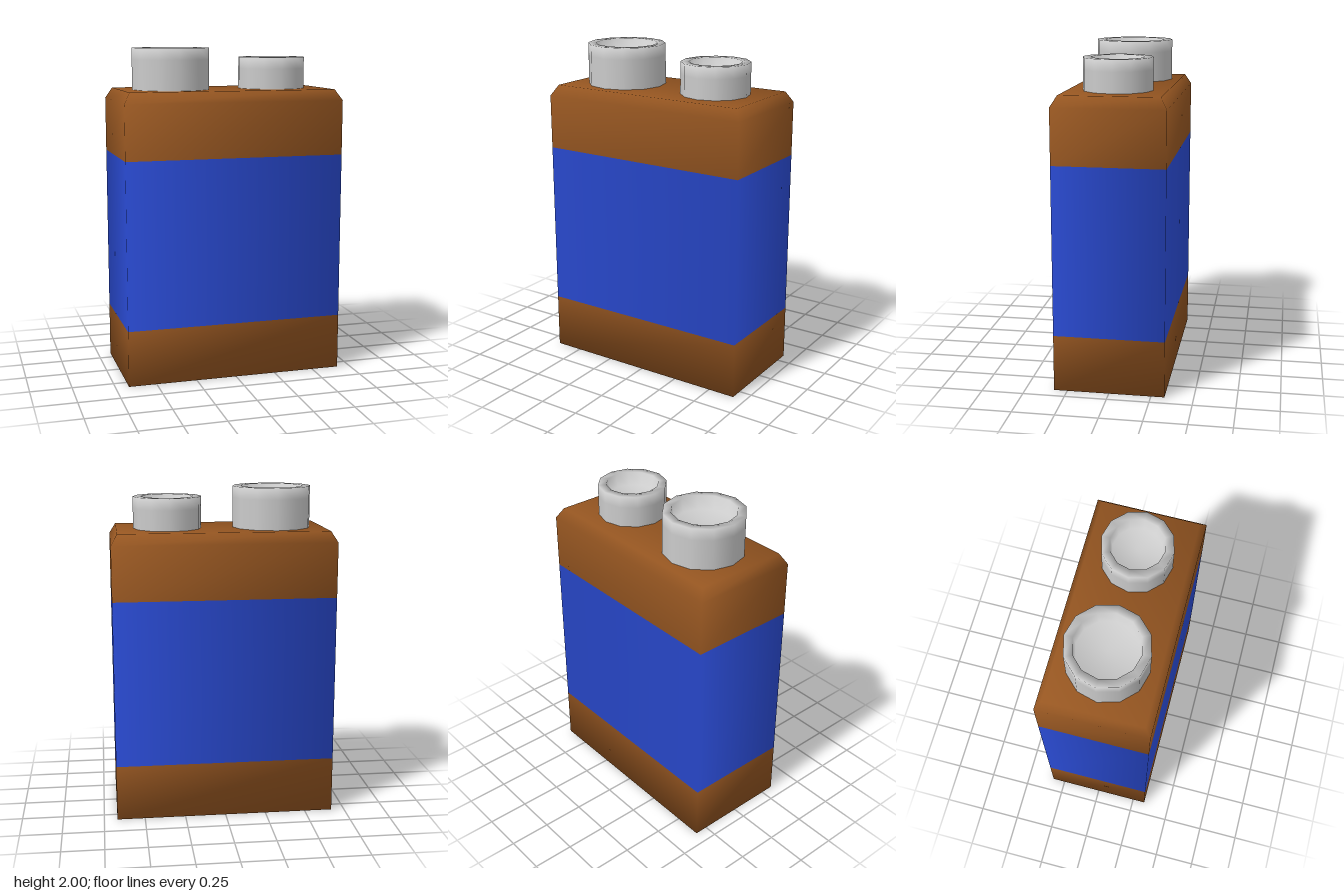
import * as THREE from 'three';

const HX = 0.67, HZ = 0.33; // half width and half depth of the case
const LIP = 0.05, RECESS = 0.034; // width and depth of the foot bevel

const brown = new THREE.MeshStandardMaterial({ color: 0x965621 });
const blue = new THREE.MeshStandardMaterial({ color: 0x2a4bd4 });
const black = new THREE.MeshStandardMaterial({ color: 0x1c1c1c });
const grey = new THREE.MeshStandardMaterial({ color: 0xcccccc });

// Rectangular skin through rings of [inset, y, outward, upward]; the last two
// aim the soft corner normals. Rings run upwards on the outside.
function skin(name, rings, material, cap = false) {
  const pos = [], normal = [], index = [];
  for (const [inset, y, out, up] of rings) {
    for (const [sx, sz] of [[1, 1], [1, -1], [-1, -1], [-1, 1]]) {
      pos.push(sx * (HX - inset), y, sz * (HZ - inset));
      normal.push(sx * out, up, sz * out);
    }
  }
  for (let r = 0; r < rings.length - 1; r++) {
    for (let i = 0; i < 4; i++) {
      const a = r * 4 + i, b = r * 4 + (i + 1) % 4;
      index.push(a, b, b + 4, a, b + 4, a + 4);
    }
  }
  if (cap) {
    const t = (rings.length - 1) * 4;
    index.push(t, t + 1, t + 2, t, t + 2, t + 3);
  }
  const geo = new THREE.BufferGeometry();
  geo.setAttribute('position', new THREE.Float32BufferAttribute(pos, 3));
  geo.setAttribute('normal', new THREE.Float32BufferAttribute(normal, 3));
  geo.normalizeNormals();
  geo.setIndex(index);
  const mesh = new THREE.Mesh(geo, material);
  mesh.name = name;
  return mesh;
}

// Twelve-sided hollow contact cup
function terminal(name, x, radius, top) {
  const inner = radius - 0.05;
  const profile = [
    [radius, 1.745], [radius, top - 0.07], [radius, top],
    [inner, top], [inner - 0.012, top - 0.08], [0, top - 0.08],
  ].map(([r, y]) => new THREE.Vector2(r, y));
  const mesh = new THREE.Mesh(new THREE.LatheGeometry(profile, 12), grey);
  mesh.position.x = x;
  mesh.name = name;
  return mesh;
}

export function createModel() {
  const model = new THREE.Group();
  model.name = 'battery';

  // Case: bevelled foot, wrapper band, chamfered top
  model.add(skin('lowerCase', [
    [LIP, RECESS, -0.3, -1], [0, 0, 1, -1], [0, 0.34, 1, 0],
  ], brown));
  model.add(skin('wrapper', [[0, 0.34, 1, 0], [0, 1.355, 1, 0]], blue));
  model.add(skin('upperCase', [
    [0, 1.355, 1, 0], [0, 1.685, 1, 0.5], [0.038, 1.75, 1, 2.2],
  ], brown, true));

  // Recessed base panel facing down
  const base = new THREE.Mesh(new THREE.PlaneGeometry(2 * (HX - LIP), 2 * (HZ - LIP)), black);
  base.rotation.x = Math.PI / 2;
  base.position.y = RECESS;
  base.name = 'basePanel';
  model.add(base);

  // Contacts
  model.add(terminal('largeTerminal', -0.32, 0.24, 2));
  model.add(terminal('smallTerminal', 0.32, 0.208, 1.942));
  return model;
}
